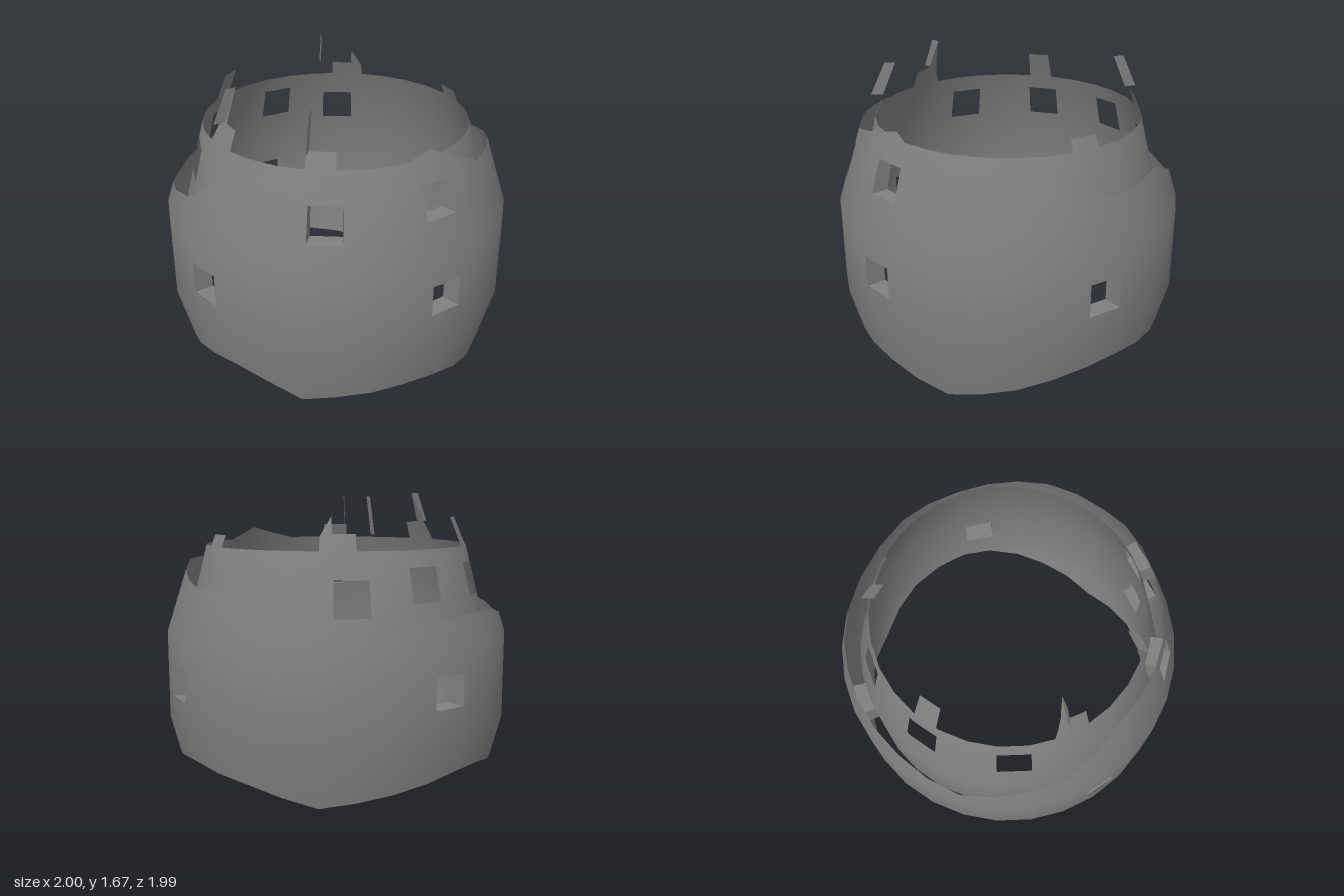
import * as THREE from 'three';
import { mergeVertices } from 'three/addons/utils/BufferGeometryUtils.js';

const rad = THREE.MathUtils.degToRad;
const material = new THREE.MeshStandardMaterial({ color: 0x808080, side: THREE.DoubleSide });

// Profiles as [height, radius]
const outerProfile = [[-0.13, 0.87], [0.37, 1], [0.88, 1], [1.37, 0.842], [1.67, 0.7]];
const innerProfile = [[-0.13, 0.8], [0.37, 0.89], [0.88, 0.89], [1.375, 0.765], [1.67, 0.64]];
// Smoothed upward tilt of the walls as [height, slope]
const tilt = [[-0.13, -0.26], [0.37, -0.13], [0.88, 0.16], [1.37, 0.36], [1.67, 0.45]];

// Broken rims of the outer shell as [angle from the front towards +x, height]
const outerTop = [[-186, 1.15], [-162, 1.19], [-126, 0.955], [-102, 1.02], [-78, 1.04], [-66, 1.03], [-42, 0.95],
  [-6, 1.085], [18, 1.33], [42, 1.335], [54, 1.315], [90, 1.445], [114, 1.28], [138, 1.28], [174, 1.15]];
const outerBottom = [[-186, 0.21], [-162, 0.165], [-138, 0.065], [-114, 0.13], [-90, 0.2], [-78, 0.2], [-54, 0.12],
  [-30, 0.07], [-18, 0.04], [-6, 0.11], [6, 0.165], [18, 0.19], [30, 0.14], [42, 0.04], [54, 0.08],
  [78, 0.115], [90, 0.1], [114, 0], [138, 0.09], [150, 0.145], [162, 0.19], [174, 0.21]];

// Windows as [angle, half width in degrees, bottom, top]
const framedWindows = [
  [7.6, 5.4, 0.565, 0.755], [90, 5.5, 0.565, 0.75], [166.5, 5.6, 0.535, 0.73], [-96, 5.6, 0.565, 0.745],
  [90, 6, 1.1, 1.285], [50.4, 5.8, 1.045, 1.235],
];
const openWindows = [
  [-23.9, 6.7, 1.085, 1.275], [-61.5, 6.6, 1.1, 1.285], [-97, 6.5, 1.1, 1.285], [-126.7, 6.6, 1.04, 1.23],
];

// Linear interpolation through a list of [key, value]
function lerpList(list, key) {
  let i = 1;
  while (i < list.length - 1 && key > list[i][0]) i++;
  const [k0, v0] = list[i - 1], [k1, v1] = list[i];
  return v0 + (v1 - v0) * THREE.MathUtils.clamp((key - k0) / (k1 - k0), 0, 1);
}

// Point on a 30-sided shell
function point(profile, angle, y) {
  const facet = 12 * Math.round(angle / 12);
  const r = lerpList(profile, y) * Math.cos(rad(6)) / Math.cos(rad(angle - facet));
  return [r * Math.sin(rad(angle)), y, r * Math.cos(rad(angle))];
}

const sorted = (values) => [...new Set(values.map((v) => +v.toFixed(4)))].sort((a, b) => a - b);

function quadMesh(name, quads) {
  const positions = [];
  for (const [a, b, c, d] of quads) positions.push(...a, ...b, ...c, ...a, ...c, ...d);
  let geometry = new THREE.BufferGeometry();
  geometry.setAttribute('position', new THREE.Float32BufferAttribute(positions, 3));
  geometry = mergeVertices(geometry, 1e-5);
  geometry.computeVertexNormals();
  const mesh = new THREE.Mesh(geometry, material);
  mesh.name = name;
  return mesh;
}

// Curved wall between two rims, leaving out the windows
function shell(name, profile, bottom, top, windows) {
  const first = top[0][0], last = top[top.length - 1][0];
  const angles = [first, last];
  for (let a = -186; a <= 186; a += 12) angles.push(a);
  for (const [a] of [...bottom, ...top]) angles.push(a);
  const heights = [0, 1.7, ...profile.map((p) => p[0])];
  for (const [a, w, y0, y1] of windows) {
    angles.push(a - w, a + w);
    heights.push(y0, y1);
  }
  const cols = sorted(angles).filter((a) => a >= first && a <= last);
  const rows = sorted(heights);
  const at = (a, y) =>
    point(profile, a, THREE.MathUtils.clamp(y, lerpList(bottom, a), lerpList(top, a)));

  const quads = [];
  for (let i = 0; i < cols.length - 1; i++) {
    for (let j = 0; j < rows.length - 1; j++) {
      const a = (cols[i] + cols[i + 1]) / 2, y = (rows[j] + rows[j + 1]) / 2;
      if (windows.some(([c, w, y0, y1]) => Math.abs(a - c) < w && y > y0 && y < y1)) continue;
      const quad = [at(cols[i], rows[j]), at(cols[i + 1], rows[j]),
        at(cols[i + 1], rows[j + 1]), at(cols[i], rows[j + 1])];
      // Skip cells squeezed flat by a rim
      if (quad[3][1] - quad[0][1] < 1e-5 && quad[2][1] - quad[1][1] < 1e-5) continue;
      quads.push(quad);
    }
  }
  const mesh = quadMesh(name, quads);

  // Smooth round shading, independent of the cuts
  const { position, normal } = mesh.geometry.attributes;
  const n = new THREE.Vector3();
  for (let i = 0; i < position.count; i++) {
    n.set(position.getX(i), 0, position.getZ(i)).normalize();
    n.setY(lerpList(tilt, position.getY(i))).normalize();
    normal.setXYZ(i, n.x, n.y, n.z);
  }
  return mesh;
}

// Flat strip joining the outer shell to the inner shell
const bridge = (name, a0, y0, a1, y1) => quadMesh(name, [[
  point(outerProfile, a0, y0), point(outerProfile, a1, y1),
  point(innerProfile, a1, y1), point(innerProfile, a0, y0)]]);

export function createModel() {
  const model = new THREE.Group();
  model.name = 'ruinedRoundTower';

  model.add(shell('outerWall', outerProfile, outerBottom, outerTop, framedWindows));
  model.add(shell('innerWall', innerProfile, [[-186, 0.35], [174, 0.35]],
    [[-186, 1.375], [174, 1.375]],
    [...framedWindows, ...openWindows]));

  // Window reveals
  for (const [a, w, y0, y1] of framedWindows) {
    const frame = new THREE.Group();
    frame.name = 'windowFrame';
    frame.add(
      bridge('windowSill', a + w, y0, a - w, y0),
      bridge('windowLintel', a - w, y1, a + w, y1),
      bridge('windowJamb', a - w, y0, a - w, y1),
      bridge('windowJamb', a + w, y1, a + w, y0));
    model.add(frame);
  }

  // Jagged remains of the inner wall above its rim
  const remains = [
    [[-7.5, 1.376], [-4, 1.52], [-1.7, 1.67], [-0.2, 1.49], [7.3, 1.48]],
    [[42, 1.46], [54, 1.46]],
    [[161, 1.44], [173, 1.44]],
    [[-66, 1.535], [-55.5, 1.535]],
    [[-139, 1.45], [-134.4, 1.55], [-134, 1.46], [-124.5, 1.46]],
  ];
  for (const top of remains) {
    const base = [[top[0][0], 1.375], [top[top.length - 1][0], 1.375]];
    model.add(shell('brokenWall', innerProfile, base, top, []));
  }

  // Jambs left standing from the lost top row of windows
  for (const [a, y0, y1] of [[-1.7, 1.49, 1.67], [43, 1.46, 1.65], [-118.3, 1.46, 1.65]]) {
    model.add(bridge('brokenJamb', a, y0, a, y1));
  }
  return model;
}
